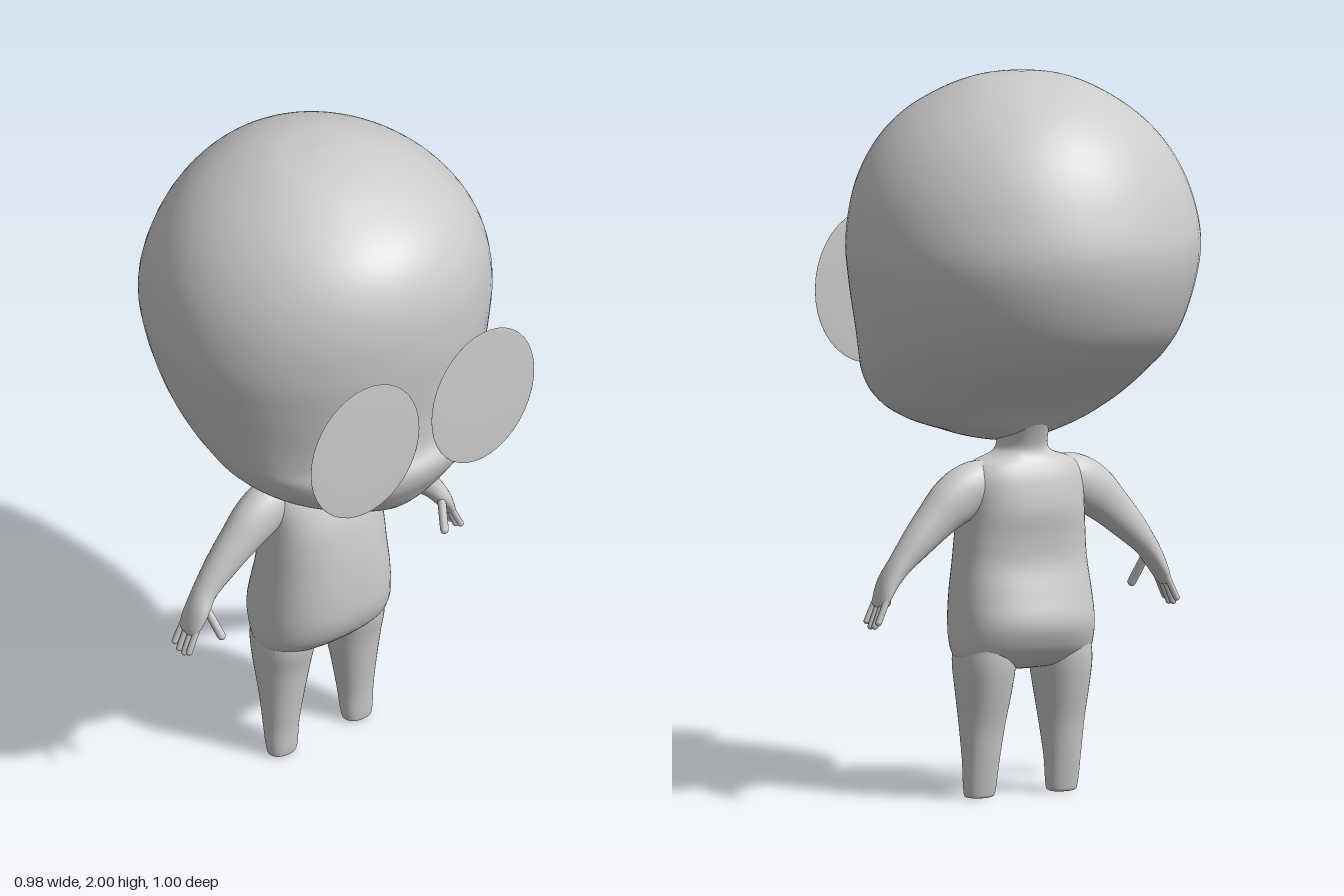
import * as THREE from 'three';

const clay = new THREE.MeshStandardMaterial({ color: 0xcccccc });
clay.name = 'light grey';

// Catmull-Rom blend of one column of four neighbouring rows
const blend = (a, b, c, d, t) =>
  0.5 * (2 * b + (c - a) * t + (2 * a - 5 * b + 4 * c - d) * t * t + (3 * b - a - 3 * c + d) * t * t * t);

// Smooth skin over cross-sections given from top to bottom.
// Row: [x, y, half width, front z, back z, z of the widest point]; power > 2 squares the section.
function loft(rows, { side = 1, power = 2, sides = 40, steps = 5 } = {}) {
  const at = i => rows[Math.max(0, Math.min(rows.length - 1, i))];
  const fine = [];
  for (let i = 0; i < rows.length - 1; i++)
    for (let s = 0; s < steps; s++)
      fine.push(rows[i].map((_, k) => blend(at(i - 1)[k], at(i)[k], at(i + 1)[k], at(i + 2)[k], s / steps)));
  fine.push(rows[rows.length - 1]);

  const bend = v => Math.sign(v) * Math.pow(Math.abs(v), 2 / power);
  const position = [], index = [];
  fine.forEach(([x, y, w, front, back, zc], i) => {
    const p = fine[Math.max(0, i - 1)], q = fine[Math.min(fine.length - 1, i + 1)];
    let tx = side * (q[0] - p[0]), ty = q[1] - p[1];
    const len = Math.hypot(tx, ty);
    if (len < 1e-4) { tx = 0; ty = -1; } else { tx /= len; ty /= len; }
    for (let j = 0; j < sides; j++) {
      const a = (j / sides) * Math.PI * 2;
      const u = w * bend(Math.sin(a)), c = bend(Math.cos(a));
      position.push(side * x - ty * u, y + tx * u, zc + c * (c > 0 ? front - zc : zc - back));
      if (i < fine.length - 1) {
        const k = (j + 1) % sides, m = i * sides, n = m + sides;
        index.push(m + j, n + j, n + k, m + j, n + k, m + k);
      }
    }
  });
  const geometry = new THREE.BufferGeometry();
  geometry.setAttribute('position', new THREE.Float32BufferAttribute(position, 3));
  geometry.setIndex(index);
  geometry.computeVertexNormals();
  return geometry;
}

// Rounded finger between two points
function finger(a, b, radius) {
  const from = new THREE.Vector3(...a), to = new THREE.Vector3(...b);
  const dir = to.clone().sub(from);
  const geometry = new THREE.CapsuleGeometry(radius, dir.length() - radius, 5, 12);
  geometry.applyQuaternion(new THREE.Quaternion().setFromUnitVectors(new THREE.Vector3(0, 1, 0), dir.normalize()));
  const mid = from.add(to).multiplyScalar(0.5);
  return geometry.translate(mid.x, mid.y, mid.z);
}

const headRows = [
  [0, 2.0, 0, 0, 0, 0],
  [0, 1.985, 0.125, 0.125, -0.13, 0],
  [0, 1.94, 0.23, 0.25, -0.25, 0],
  [0, 1.87, 0.33, 0.365, -0.345, 0],
  [0, 1.78, 0.41, 0.43, -0.415, 0],
  [0, 1.67, 0.465, 0.457, -0.465, 0],
  [0, 1.54, 0.49, 0.458, -0.497, 0],
  [0, 1.42, 0.478, 0.447, -0.48, 0.01],
  [0, 1.3, 0.452, 0.435, -0.425, 0.03],
  [0, 1.22, 0.428, 0.437, -0.345, 0.06],
  [0, 1.17, 0.405, 0.46, -0.265, 0.08],
  [0, 1.12, 0.375, 0.452, -0.19, 0.1],
  [0, 1.07, 0.322, 0.425, -0.125, 0.12],
  [0, 1.03, 0.245, 0.4, -0.09, 0.14],
  [0, 1.0, 0.155, 0.372, -0.05, 0.17],
  [0, 0.975, 0.075, 0.33, 0.04, 0.19],
  [0, 0.965, 0, 0.2, 0.2, 0.2],
];

const torsoRows = [
  [0, 1.05, 0.07, 0.07, -0.1, 0],
  [0, 0.98, 0.065, 0.068, -0.074, 0],
  [0, 0.95, 0.085, 0.068, -0.075, 0],
  [0, 0.925, 0.15, 0.077, -0.09, 0],
  [0, 0.88, 0.176, 0.1, -0.108, 0],
  [0, 0.8, 0.18, 0.135, -0.12, 0],
  [0, 0.72, 0.186, 0.152, -0.112, 0],
  [0, 0.65, 0.191, 0.161, -0.112, 0],
  [0, 0.57, 0.2, 0.167, -0.133, 0],
  [0, 0.49, 0.206, 0.165, -0.152, 0],
  [0, 0.43, 0.207, 0.145, -0.134, 0],
  [0, 0.39, 0.198, 0.11, -0.105, 0],
  [0, 0.365, 0.15, 0.075, -0.075, 0],
  [0, 0.353, 0.05, 0.03, -0.03, 0],
  [0, 0.35, 0, 0, 0, 0],
];

const legRows = [
  [0.118, 0.46, 0.07, 0.09, -0.1, 0],
  [0.121, 0.38, 0.082, 0.09, -0.1, 0],
  [0.123, 0.3, 0.076, 0.073, -0.085, 0],
  [0.126, 0.2, 0.063, 0.058, -0.06, 0],
  [0.129, 0.1, 0.052, 0.045, -0.043, 0],
  [0.13, 0.02, 0.046, 0.04, -0.028, 0.005],
  [0.13, 0.002, 0.036, 0.033, -0.02, 0.006],
  [0.13, 0, 0, 0.006, 0.006, 0.006],
];

const armRows = [
  [0.07, 0.87, 0.055, 0.04, -0.05, -0.005],
  [0.15, 0.865, 0.07, 0.055, -0.065, -0.005],
  [0.215, 0.83, 0.071, 0.055, -0.064, -0.005],
  [0.275, 0.78, 0.058, 0.047, -0.056, -0.005],
  [0.335, 0.722, 0.046, 0.038, -0.05, -0.006],
  [0.388, 0.665, 0.033, 0.032, -0.042, -0.005],
  [0.42, 0.62, 0.026, 0.043, -0.04, 0],
  [0.442, 0.578, 0.018, 0.04, -0.04, 0],
  [0.452, 0.555, 0.011, 0.03, -0.03, 0],
  [0.455, 0.548, 0, 0, 0, 0],
];

export function createModel() {
  const model = new THREE.Group();
  model.name = 'bigHeadedFigure';
  const add = (name, geometry, parent = model) => {
    const mesh = new THREE.Mesh(geometry, clay);
    mesh.name = name;
    parent.add(mesh);
    return mesh;
  };

  add('head', loft(headRows, { sides: 64, steps: 6 }));
  add('torso', loft(torsoRows, { power: 2.35, sides: 48 }));

  for (const side of [1, -1]) {
    const label = side > 0 ? 'left' : 'right';
    add(label + 'Leg', loft(legRows, { side, power: 2.2 }));

    // Arm with palm, four fingers and a thumb
    const arm = new THREE.Group();
    arm.name = label + 'ArmGroup';
    model.add(arm);
    add(label + 'Arm', loft(armRows, { side, sides: 28 }), arm);
    [0.031, 0.009, -0.013, -0.033].forEach((z, i) => {
      const drop = [0.012, 0, 0.002, 0.014][i];
      add(label + 'Finger' + (i + 1),
        finger([side * 0.438, 0.585, z * 0.9], [side * 0.474, 0.495 + drop, z], 0.009), arm);
    });
    add(label + 'Thumb', finger([side * 0.408, 0.625, 0.028], [side * 0.387, 0.545, 0.069], 0.012), arm);

    // Thin oval eye plate floating ahead of the face
    const eye = add(label + 'Eye', new THREE.SphereGeometry(1, 40, 20));
    eye.scale.set(0.184, 0.215, 0.003);
    eye.rotation.y = side * 0.035;
    eye.position.set(side > 0 ? 0.187 : -0.223, 1.36, 0.492);
  }
  return model;
}
